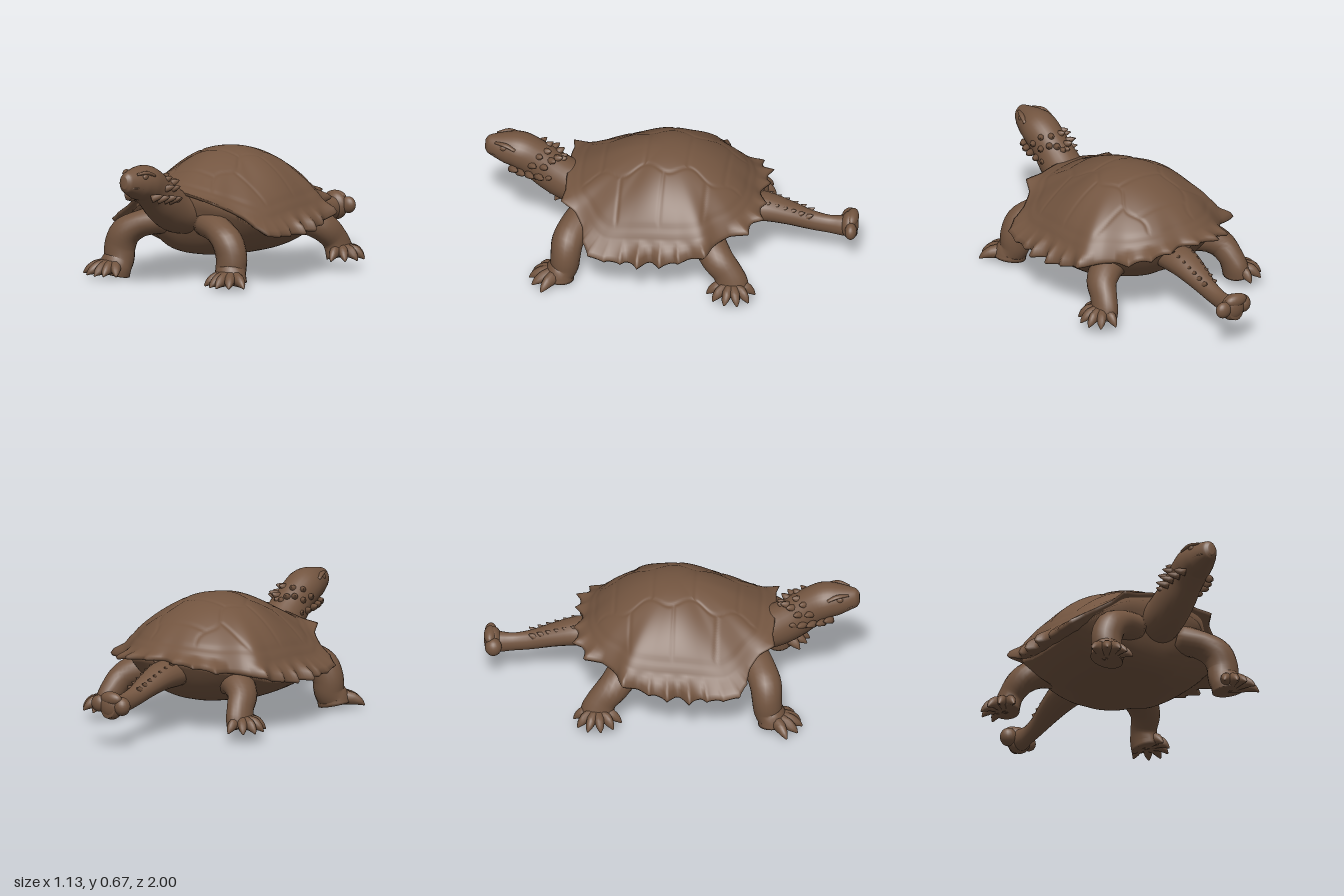
import * as THREE from 'three';
import { mergeGeometries } from 'three/addons/utils/BufferGeometryUtils.js';

const V = (x, y, z) => new THREE.Vector3(x, y, z);
const UP = V(0, 1, 0), FORWARD = V(0, 0, 1);
const smooth = THREE.MathUtils.smoothstep, lerp = THREE.MathUtils.lerp;

// Smooth closed surface through a stack of rings, capped at both ends.
function skin(rings) {
  const n = rings[0].length, m = rings.length, pos = [], idx = [];
  rings.forEach(r => r.forEach(p => pos.push(p.x, p.y, p.z)));
  for (const r of [rings[0], rings[m - 1]]) {
    const c = r.reduce((a, p) => a.add(p), V(0, 0, 0)).divideScalar(n);
    pos.push(c.x, c.y, c.z);
  }
  for (let j = 0; j < n; j++) {
    const k = (j + 1) % n;
    for (let i = 0; i < m - 1; i++) {
      const a = i * n + j, b = i * n + k;
      idx.push(a, b, a + n, b, b + n, a + n);
    }
    idx.push(m * n, k, j, m * n + 1, (m - 1) * n + j, (m - 1) * n + k);
  }
  const g = new THREE.BufferGeometry();
  g.setAttribute('position', new THREE.Float32BufferAttribute(pos, 3));
  g.setIndex(idx);
  g.computeVertexNormals();
  return g;
}

// Elliptical sections [x, y, z, rx, ry] swept along a smooth path.
function loft(secs, ref = UP, steps = 4, sides = 20) {
  const path = new THREE.CatmullRomCurve3(secs.map(s => V(s[0], s[1], s[2])));
  const size = new THREE.CatmullRomCurve3(secs.map(s => V(s[3], s[4], 0)));
  const rings = [], m = (secs.length - 1) * steps;
  for (let i = 0; i <= m; i++) {
    const c = path.getPoint(i / m), r = size.getPoint(i / m), t = path.getTangent(i / m);
    const S = ref.clone().cross(t).normalize(), N = t.clone().cross(S);
    rings.push(Array.from({ length: sides }, (_, j) => {
      const a = j / sides * Math.PI * 2;
      return c.clone().addScaledVector(S, Math.cos(a) * r.x).addScaledVector(N, Math.sin(a) * r.y);
    }));
  }
  return skin(rings);
}

// Tapered spike from base to tip.
function spike(a, b, r) {
  const at = (k, f) => [...a.map((v, i) => v + (b[i] - v) * k), r * f, r * f];
  return loft([at(0, 1), at(0.6, 0.7), at(1, 0.1)], UP, 2, 8);
}

function ball(x, y, z, rx, ry, rz) {
  return new THREE.SphereGeometry(1, 20, 14).scale(rx, ry, rz).translate(x, y, z);
}

// Rim of the shell: front centre, round the left side, to the back centre, mirrored.
const HALF = [[0, .485, .55], [.14, .465, .55], [.25, .435, .53], [.32, .395, .47], [.42, .33, .4], [.468, .285, .33],
  [.48, .268, .2], [.484, .264, .06], [.48, .277, -.1], [.465, .312, -.23], [.385, .337, -.3], [.3, .36, -.4],
  [.2, .38, -.455], [.1, .39, -.478], [0, .395, -.475]];
const RIM = new THREE.CatmullRomCurve3([...HALF, ...HALF.slice(1, -1).reverse().map(p => [-p[0], p[1], p[2]])]
  .map(p => V(...p)), true).getSpacedPoints(320).slice(0, 320);
const CZ = 0.03, TOP = 0.665;

// Tips of the pointed plates drawn out of the rim
const TIPS = [[.27, .44, .56], [.445, .315, .42], [.505, .275, .385], [.525, .26, .3], [.535, .255, .215],
  [.565, .255, .12], [.55, .26, 0], [.525, .28, -.1], [.512, .32, -.24], [.325, .36, -.455], [.22, .385, -.52],
  [.09, .395, -.52]];
const EDGE = RIM.map(p => p.clone());
for (const [x, y, z] of TIPS) for (const s of [1, -1]) {
  const tip = V(x * s, y, z);
  const near = RIM.reduce((b, p, i) => p.distanceTo(tip) < RIM[b].distanceTo(tip) ? i : b, 0);
  const out = tip.clone().sub(RIM[near]);
  for (let d = -6; d <= 6; d++) EDGE[(near + d + 320) % 320].addScaledVector(out, (1 - Math.abs(d) / 7) ** 1.3);
}

// Shallow seams between the shell plates.
function seam(x, z, t) {
  const line = d => Math.exp(-((d / 0.01) ** 2));
  const ax = Math.abs(x), band = 0.16 + 0.025 * Math.cos(z * 27);
  let g = Math.max(line(ax - band) * (t < 0.86 ? 1 : 0), line((t - 0.86) * 0.45));
  if (t < 0.86) for (const c of ax < band ? [.36, .13, -.1, -.3] : [.25, .02, -.21]) g = Math.max(g, line(z - c));
  return g * 0.004;
}

// Dome with rounder contours towards the top, flaring into the toothed rim.
function carapace() {
  const rings = [0.9, 0.98].map(t => EDGE.map(p => V(p.x * t, p.y - 0.014, CZ + (p.z - CZ) * t)));
  for (let i = 0; i <= 60; i++) {
    const t = Math.max(1 - i / 60, 0.004);
    rings.push(RIM.map((p, j) => {
      const dz = p.z - CZ, d = dz / Math.hypot(p.x, dz);
      const power = 0.72 + d * d * (d > 0 ? 0.78 : 0.28);
      const k = t * lerp(1 / Math.hypot(p.x / 0.48, dz / 0.52), 1, smooth(t, 0.4, 1));
      const x = p.x * k, z = CZ + dz * k;
      const v = V(x, p.y + (TOP - p.y) * (1 - t ** 2.1) ** power - seam(x, z, t), z);
      return v.addScaledVector(EDGE[j].clone().sub(p), smooth(t, 0.93, 1));
    }));
  }
  return skin(rings);
}

function plastron() {
  const rings = [];
  for (let i = 1; i <= 30; i++) {
    const t = i / 30;
    rings.push(RIM.map(p => {
      const d = (p.z - CZ) / Math.hypot(p.x, p.z - CZ);
      const k = 3.2 + d ** 6 * (d > 0 ? 4.8 : 0.8);
      return V(p.x * t * 0.95, 0.113 + (p.y - 0.123) * t ** k, CZ + (p.z - CZ) * t * 0.94);
    }));
  }
  return skin(rings);
}

export function createModel() {
  const model = new THREE.Group();
  const brown = new THREE.MeshStandardMaterial({ color: 0x735540 });
  brown.name = 'brown hide';
  const add = (name, ...geos) => {
    const mesh = new THREE.Mesh(geos.length > 1 ? mergeGeometries(geos) : geos[0], brown);
    mesh.name = name;
    model.add(mesh);
  };

  add('shell', carapace());
  add('belly', plastron());

  // Neck and head in one sweep
  add('neckAndHead', loft([[0, .345, .4, .13, .11], [0, .378, .54, .112, .115], [0, .435, .64, .106, .112],
    [0, .505, .73, .098, .105], [0, .553, .81, .1, .1], [0, .565, .88, .085, .088], [0, .573, .94, .062, .068],
    [0, .577, .982, .04, .052], [0, .578, .998, .018, .03]], UP, 5, 28));

  // Mouth line running round the beak
  add('mouth', new THREE.TubeGeometry(new THREE.CatmullRomCurve3([V(-.082, .53, .85), V(-.062, .545, .92),
    V(-.036, .548, .972), V(0, .542, .992), V(.036, .548, .972), V(.062, .545, .92), V(.082, .53, .85)]), 32, .005, 6));

  // Tail with a wide club at the tip
  add('tail', loft([[0, .31, -.38, .1, .08], [0, .305, -.5, .088, .075], [0, .277, -.62, .07, .062],
    [0, .24, -.74, .047, .054], [0, .222, -.84, .038, .052], [0, .22, -.93, .05, .06], [0, .225, -.985, .045, .06]]));
  add('tailClub', ball(0, .228, -.95, .07, .075, .048), ball(-.065, .23, -.945, .045, .05, .045),
    ball(.07, .235, -.965, .045, .045, .032), ball(-.01, .27, -.965, .065, .038, .033));

  for (const s of [1, -1]) {
    const side = s > 0 ? 'left' : 'right';
    const mir = list => list.map(p => [p[0] * s, ...p.slice(1)]);

    // Eyes under a brow ridge
    add(side + 'Eye', ball(s * .065, .603, .893, .012, .016, .02));
    add(side + 'Brow', loft(mir([[.082, .605, .83, .01, .008], [.068, .624, .88, .014, .01],
      [.044, .62, .94, .008, .006]]), UP, 4, 10));

    // Front leg and toes
    add(side + 'FrontLeg', loft(mir([[.14, .31, .42, .08, .09], [.255, .28, .48, .072, .085], [.333, .228, .515, .083, .085],
      [.362, .155, .523, .085, .08], [.363, .09, .53, .084, .078], [.372, .05, .55, .09, .078],
      [.38, .012, .552, .09, .076]]), FORWARD));
    add(side + 'FrontToes', ...[[.287, .665], [.345, .7], [.395, .712], [.46, .69], [.52, .635]].map(([x, z]) =>
      loft(mir([[.38, .055, .55, .045, .045], [.38 + (x - .38) * .6, .046, .55 + (z - .55) * .6, .03, .035],
        [.38 + (x - .38) * .85, .03, .55 + (z - .55) * .85, .02, .02], [x, .012, z, .004, .004]]), UP, 3, 10)));

    // Hind leg and toes
    add(side + 'HindLeg', loft(mir([[.18, .27, -.18, .09, .09], [.31, .265, -.24, .083, .09], [.385, .22, -.295, .075, .085],
      [.412, .16, -.35, .065, .08], [.425, .105, -.372, .064, .09], [.435, .06, -.374, .066, .09]]), FORWARD));
    add(side + 'HindToes', ...[[.465, -.245], [.53, -.285], [.562, -.35], [.56, -.42], [.52, -.475], [.44, -.5]].map(([x, z]) =>
      loft(mir([[.435, .095, -.375, .04, .04], [.435 + (x - .435) * .6, .09, -.375 + (z + .375) * .6, .027, .033],
        [.435 + (x - .435) * .85, .07, -.375 + (z + .375) * .85, .019, .019], [x, .05, z, .004, .004]]), UP, 3, 10)));

    // Ragged frill of blunt spikes round the back of the head
    add(side + 'NeckFrill', ...[[.122, .5, .81], [.138, .49, .77], [.152, .485, .72], [.145, .475, .67], [.12, .465, .63],
      [.13, .54, .71], [.12, .53, .65], [.09, .58, .68], [.085, .555, .61], [.04, .59, .64], [.045, .555, .58],
      [.015, .535, .56]].map(([x, y, z]) => spike([x * s * .6, y - .02, z + .04], [x * s, y, z], .022)));

    // Knobs along the top of the tail
    add(side + 'TailKnobs', ...Array.from({ length: 7 }, (_, i) => {
      const z = -.47 - i * .045, y = .375 - i * .0145, x = s * (.045 - i * .003);
      return spike([x * .8, y - .03, z + .04], [x * 1.2, y + .008, z - .02], .022);
    }));
  }
  return model;
}
